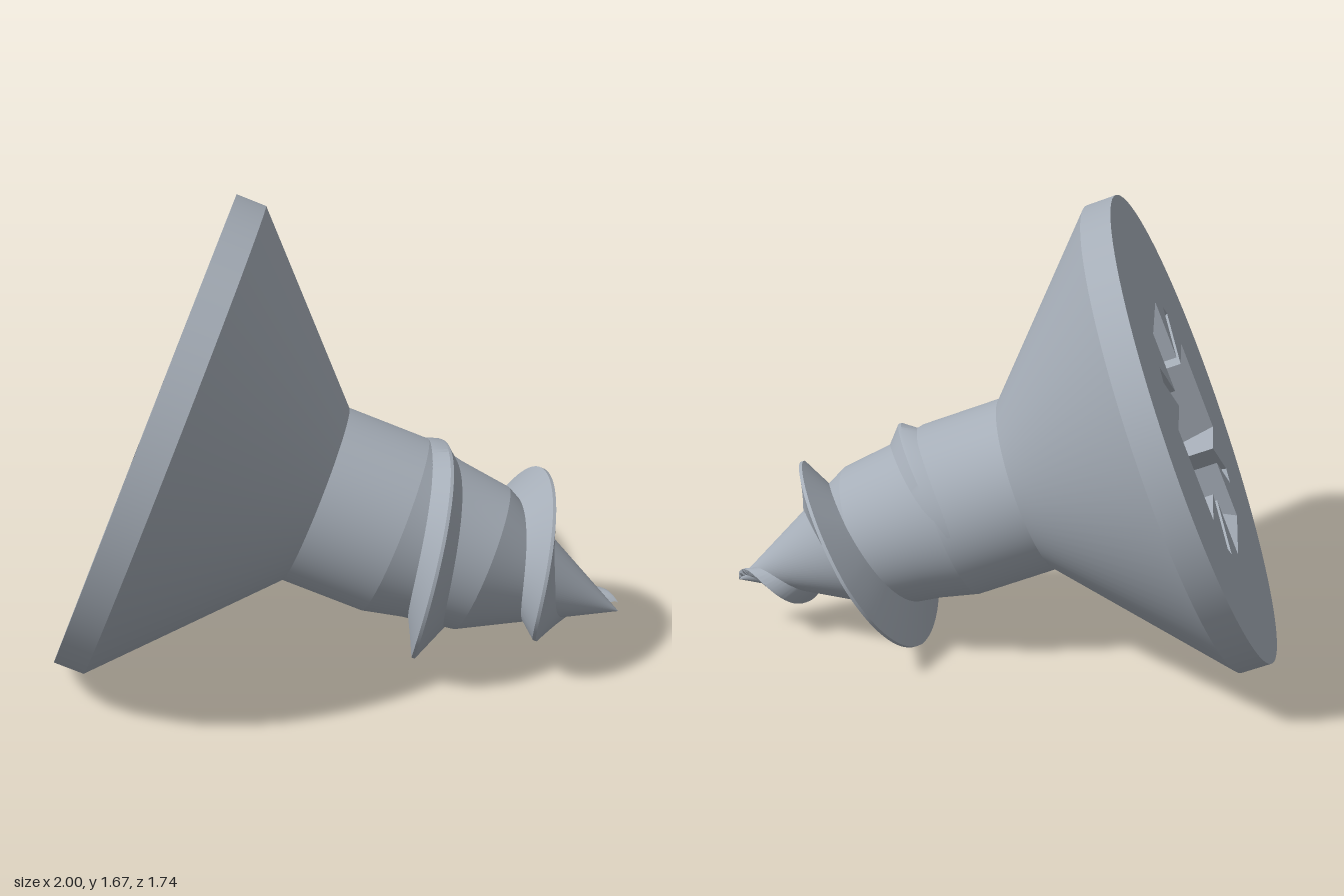
import * as THREE from 'three';
import { toCreasedNormals } from 'three/addons/utils/BufferGeometryUtils.js';

const steel = new THREE.MeshStandardMaterial({ color: 0xa6aeb8 });
steel.name = 'steel grey';

const TIP = 1.8, HEAD_R = 0.875;

// Linear interpolation through [position, radius] pairs
function lookup(table, s) {
  if (s <= table[0][0]) return table[0][1];
  for (let i = 1; i < table.length; i++) {
    const [a, ra] = table[i - 1], [b, rb] = table[i];
    if (s <= b) return ra + (rb - ra) * (s - a) / (b - a);
  }
  return table[table.length - 1][1];
}

const core = [[0.64, 0.325], [0.94, 0.325], [1.08, 0.295], [1.27, 0.27], [TIP, 0]];
const crest = [[0.88, 0.318], [1.0, 0.344], [1.11, 0.39], [1.22, 0.437], [1.3, 0.432],
  [1.39, 0.357], [1.5, 0.26], [1.575, 0.183], [1.69, 0.09], [1.78, 0.03]];

function add(group, name, geometry) {
  const mesh = new THREE.Mesh(geometry, steel);
  mesh.name = name;
  group.add(mesh);
}

// Surface of revolution about the screw axis from [position, radius] pairs
function turned(profile) {
  return new THREE.LatheGeometry(profile.map(([s, r]) => new THREE.Vector2(r, s)), 96);
}

// Cross outline with a narrow diagonal slot in each corner
function crossOutline(armEnd, slotEnd) {
  const w = 0.175, h = 0.03, c = w + h * Math.SQRT2;
  const d = slotEnd * Math.SQRT1_2, k = h * Math.SQRT1_2;
  const quarter = [[armEnd, -w], [armEnd, w], [c, w], [d + k, d - k], [d - k, d + k], [w, c]];
  const points = [];
  for (let q = 0; q < 4; q++) {
    for (const [x, y] of quarter) {
      points.push(new THREE.Vector2(x, y).rotateAround(new THREE.Vector2(), q * Math.PI / 2 - 0.1));
    }
  }
  return points;
}

// Recess walls tapering to a pointed bottom
function recessGeometry(top, deep, depth, apexDepth) {
  const pos = [];
  const n = top.length;
  const put = (p, z) => pos.push(p.x, p.y, z);
  for (let i = 0; i < n; i++) {
    const j = (i + 1) % n;
    put(top[i], 0); put(top[j], 0); put(deep[j], -depth);
    put(top[i], 0); put(deep[j], -depth); put(deep[i], -depth);
    put(deep[i], -depth); put(deep[j], -depth); pos.push(0, 0, -apexDepth);
  }
  const geo = new THREE.BufferGeometry();
  geo.setAttribute('position', new THREE.Float32BufferAttribute(pos, 3));
  geo.computeVertexNormals();
  return geo.rotateX(Math.PI / 2);
}

// Helical ridge swept along the core
function threadGeometry() {
  const start = 0.88, end = 1.78, pitch = 0.39, steps = 260;
  const pos = [], index = [];
  for (let i = 0; i <= steps; i++) {
    const s = start + (end - start) * i / steps;
    const angle = (s - 1.0) / pitch * Math.PI * 2;
    const w = Math.min(0.068, 0.02 + (TIP - s) * 0.3);
    const s0 = s - w, s1 = Math.min(s + w, TIP);
    const rOut = lookup(crest, s);
    const section = [
      [s0, Math.max(lookup(core, s0) - 0.008, 0)],
      [s - 0.006, rOut], [s + 0.006, rOut],
      [s1, Math.max(lookup(core, s1) - 0.008, 0)],
    ];
    for (const [y, r] of section) pos.push(r * Math.cos(angle), y, -r * Math.sin(angle));
    if (i < steps) {
      for (let j = 0; j < 3; j++) {
        const a = i * 4 + j, b = a + 4;
        index.push(a, b, a + 1, b, b + 1, a + 1);
      }
    }
  }
  const geo = new THREE.BufferGeometry();
  geo.setAttribute('position', new THREE.Float32BufferAttribute(pos, 3));
  geo.setIndex(index);
  return toCreasedNormals(geo, 0.5);
}

export function createModel() {
  const model = new THREE.Group();
  model.name = 'screw';
  const body = new THREE.Group();
  body.name = 'screwBody';
  model.add(body);

  // Head: flat face with a cross opening, rim and countersunk cone
  const opening = crossOutline(0.44, 0.49);
  const disc = new THREE.Shape().absarc(0, 0, HEAD_R, 0, Math.PI * 2);
  disc.holes.push(new THREE.Path(opening.slice().reverse()));
  add(body, 'headFace', new THREE.ShapeGeometry(disc, 48).rotateX(Math.PI / 2));
  add(body, 'driveRecess', recessGeometry(opening, crossOutline(0.22, 0.285), 0.42, 0.6));
  add(body, 'headRim', turned([[0, HEAD_R], [0.11, HEAD_R]]));
  add(body, 'headCone', turned([[0.11, HEAD_R], core[0]]));

  // Shank, tapered core and point
  add(body, 'shank', turned(core.slice(0, 2)));
  add(body, 'taperedCore', turned(core.slice(1, 4)));
  add(body, 'point', turned(core.slice(3)));
  add(body, 'thread', threadGeometry());

  // Lean the screw along its axis, resting on head rim and thread
  const axis = new THREE.Vector3(0.912, -0.364, 0.189).normalize();
  const up = new THREE.Vector3(-axis.y, axis.x, 0).normalize();
  const side = new THREE.Vector3().crossVectors(up, axis);
  body.applyMatrix4(new THREE.Matrix4().makeBasis(up, axis, side).setPosition(-0.64, 0.855, -0.01));
  return model;
}
